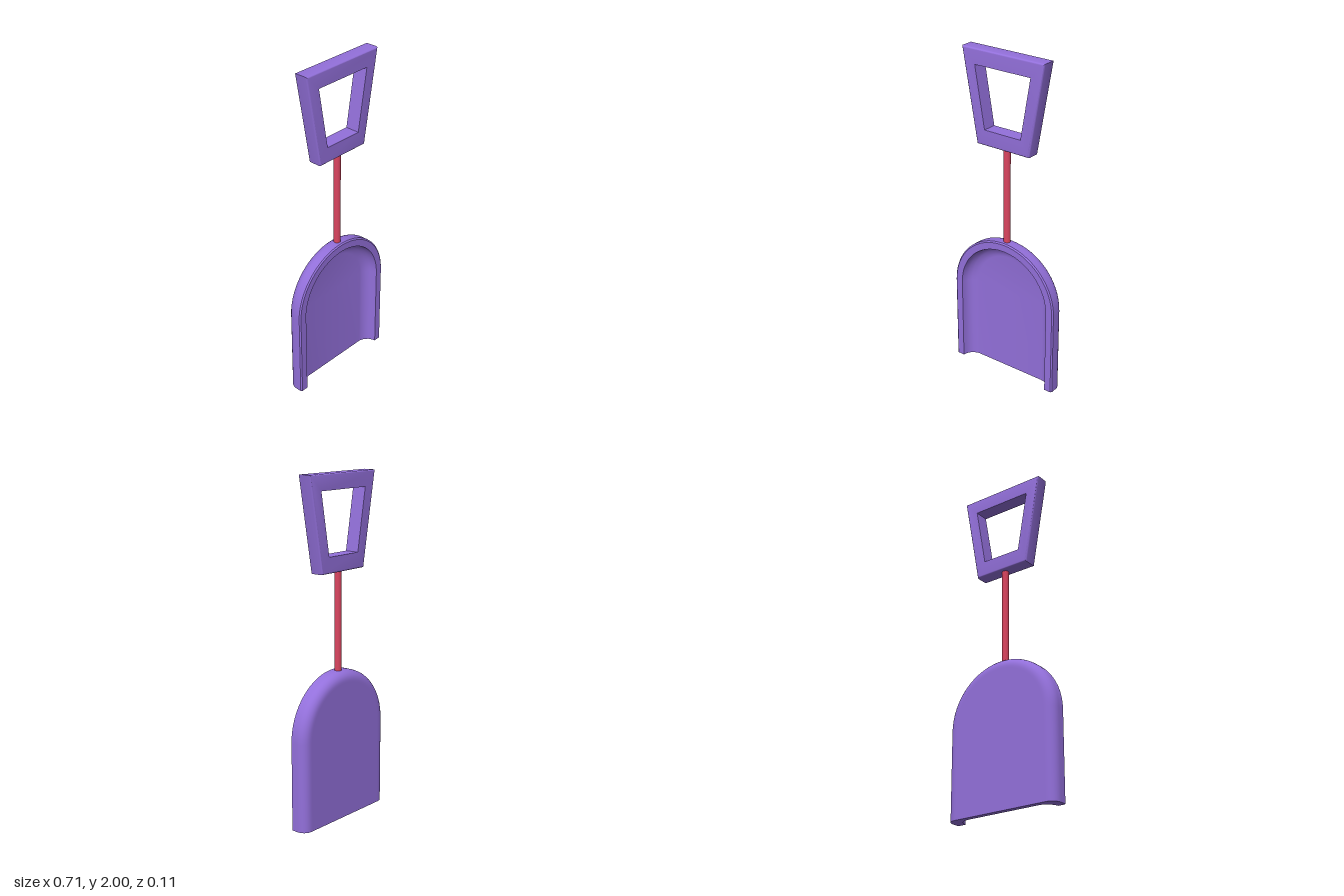
import * as THREE from 'three';
import { toCreasedNormals } from 'three/addons/utils/BufferGeometryUtils.js';

// Skin a list of equal-length rings; each ring is a list of [x, y, z].
function loft(rings, closePath, closeRows) {
  const n = rings[0].length, m = rings.length, idx = [];
  for (let r = 0; r < (closeRows ? m : m - 1); r++) {
    for (let i = 0; i < (closePath ? n : n - 1); i++) {
      const a = r * n + i, b = ((r + 1) % m) * n + i;
      const c = r * n + (i + 1) % n, d = ((r + 1) % m) * n + (i + 1) % n;
      idx.push(a, b, c, b, d, c);
    }
  }
  const geo = new THREE.BufferGeometry();
  geo.setAttribute('position', new THREE.Float32BufferAttribute(rings.flat(2), 3));
  geo.setIndex(idx);
  return toCreasedNormals(geo, 0.6);
}

export function createModel() {
  const purple = new THREE.MeshStandardMaterial({ name: 'purple plastic', color: 0x9370db });
  const red = new THREE.MeshStandardMaterial({ name: 'red shaft', color: 0xdc4560 });
  const model = new THREE.Group();
  model.name = 'toyShovel';
  const add = (name, geo, mat, parent = model) => {
    const mesh = new THREE.Mesh(geo, mat);
    mesh.name = name;
    parent.add(mesh);
    return mesh;
  };

  // Scoop wall section as [half-width, z], from the back centre round the rim to the floor centre
  const section = [[0, -0.055], [0.29, -0.055]];
  for (let k = 0; k <= 6; k++) {
    const a = (k / 6) * Math.PI / 2;
    section.push([0.302 + 0.055 * Math.sin(a), -0.055 * Math.cos(a)]);
  }
  section.push([0.357, 0.041], [0.349, 0.048], [0.307, 0.048], [0.303, 0.03],
    [0.293, 0.008], [0.275, -0.009], [0.25, -0.02], [0.235, -0.022], [0, -0.022]);

  // Arched outline: straight sides and a half-circle top
  const archY = 0.523, steps = 32;
  const arch = ([w, z]) => {
    const ring = [[-w, 0, z]];
    for (let i = 0; i <= steps; i++) {
      const a = Math.PI * (1 - i / steps);
      ring.push([w * Math.cos(a), archY + w * Math.sin(a), z]);
    }
    ring.push([w, 0, z]);
    return ring;
  };
  const scoop = new THREE.Group();
  scoop.name = 'scoop';
  model.add(scoop);
  add('scoopShell', loft(section.map(arch), false, false), purple, scoop);

  // Flat cut along the bottom of the scoop
  const right = section.map(([w, z]) => new THREE.Vector2(w, z));
  const left = section.slice(1, -1).reverse().map(([w, z]) => new THREE.Vector2(-w, z));
  const cut = new THREE.ShapeGeometry(new THREE.Shape([...right, ...left]));
  cut.rotateX(Math.PI / 2);
  add('scoopEdge', cut, purple, scoop);

  // Shaft
  add('shaft', new THREE.CylinderGeometry(0.02, 0.02, 0.63, 20), red).position.set(0, 1.155, 0.006);

  // Trapezoid grip with softly rounded outer edges and a sharp opening
  const trapezoid = (top, bottom, yTop, yBottom, z) =>
    [[-top, yTop, z], [top, yTop, z], [bottom, yBottom, z], [-bottom, yBottom, z]];
  const zBack = -0.037, zFront = 0.05, bevel = 0.01;
  const outer = (inset, z) => trapezoid(0.273 - inset, 0.177 - inset, 2 - inset, 1.455 + inset, z);
  const inner = (z) => trapezoid(0.185, 0.122, 1.91, 1.548, z);
  const rings = [];
  for (let k = 0; k <= 4; k++) {
    const a = (k / 4) * Math.PI / 2;
    rings.push(outer(bevel * (1 - Math.sin(a)), zBack + bevel * (1 - Math.cos(a))));
  }
  for (let k = 0; k <= 4; k++) {
    const a = (k / 4) * Math.PI / 2;
    rings.push(outer(bevel * (1 - Math.cos(a)), zFront - bevel * (1 - Math.sin(a))));
  }
  rings.push(inner(zFront), inner(zBack));
  add('grip', loft(rings, true, true), purple);

  return model;
}
